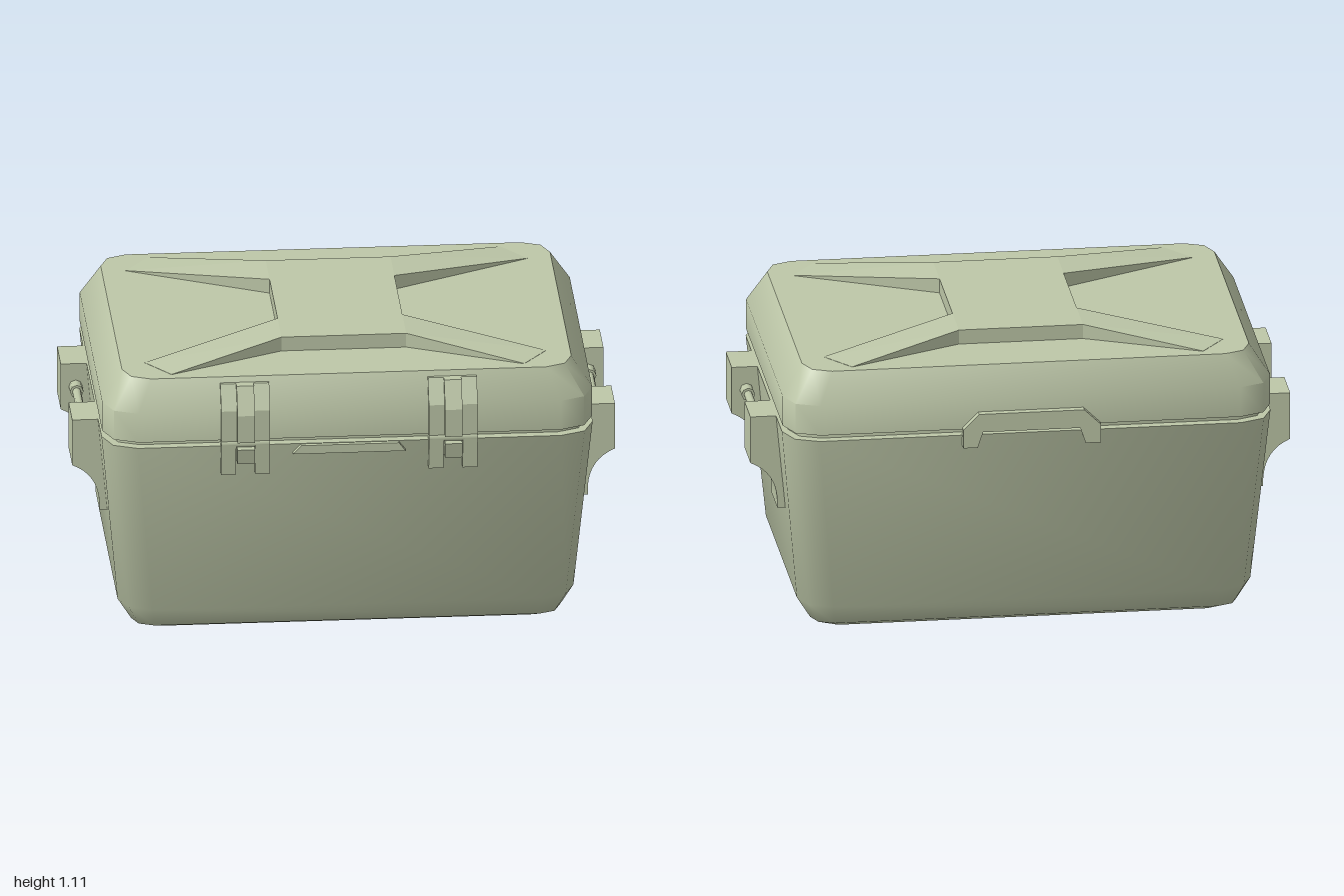
import * as THREE from 'three';
import { toCreasedNormals } from 'three/addons/utils/BufferGeometryUtils.js';
import { ConvexGeometry } from 'three/addons/geometries/ConvexGeometry.js';

const SHIFT = -0.007; // shell centre in z

// Rectangle outline with three-point rounded corners
function ring(hx, hz, r) {
  const pts = [];
  for (let c = 0; c < 4; c++) {
    const sx = c === 0 || c === 3 ? 1 : -1;
    const sz = c < 2 ? 1 : -1;
    for (let k = 0; k < 3; k++) {
      const a = c * Math.PI / 2 + k * Math.PI / 4;
      pts.push([sx * (hx - r) + r * Math.cos(a), sz * (hz - r) + r * Math.sin(a)]);
    }
  }
  return pts;
}

// Closed shell through levels [y, halfX, halfZ, cornerRadius]
function loft(levels) {
  const pos = [], idx = [], n = 12, last = levels.length - 1;
  for (const [y, hx, hz, r] of levels) for (const [x, z] of ring(hx, hz, r)) pos.push(x, y, z + SHIFT);
  pos.push(0, levels[0][0], SHIFT, 0, levels[last][0], SHIFT);
  const bottom = (last + 1) * n, top = bottom + 1;
  for (let i = 0; i < n; i++) {
    const j = (i + 1) % n;
    for (let l = 0; l < last; l++) {
      const a = l * n + i, b = l * n + j;
      idx.push(a, a + n, b + n, a, b + n, b);
    }
    idx.push(bottom, i, j, top, last * n + j, last * n + i);
  }
  const g = new THREE.BufferGeometry();
  g.setAttribute('position', new THREE.Float32BufferAttribute(pos, 3));
  g.setIndex(idx);
  return toCreasedNormals(g, 0.87);
}

const shapeOf = pts => new THREE.Shape(pts.map(p => new THREE.Vector2(p[0], p[1])));

// Extrude an (x, y) outline between two z values
function extrudeZ(pts, z0, z1) {
  const g = new THREE.ExtrudeGeometry(shapeOf(pts), { depth: z1 - z0, bevelEnabled: false });
  return g.translate(0, 0, z0);
}

// Extrude a (z, y) outline between two x values
function extrudeX(pts, x0, x1) {
  const g = new THREE.ExtrudeGeometry(shapeOf(pts), { depth: x1 - x0, bevelEnabled: false });
  return g.rotateY(-Math.PI / 2).translate(x1, 0, 0);
}

export function createModel() {
  const root = new THREE.Group();
  root.name = 'storageCase';
  const mat = new THREE.MeshStandardMaterial({ color: 0xbdc7a8 });
  const add = (name, geo, parent = root) => {
    const m = new THREE.Mesh(geo, mat);
    m.name = name;
    parent.add(m);
    return m;
  };

  // Tapered tub, seal strip and lid
  add('body', loft([
    [0, 0.70, 0.425, 0.02], [0.04, 0.79, 0.515, 0.08],
    [0.12, 0.84, 0.56, 0.12], [0.8, 0.905, 0.64, 0.125],
  ]));
  add('seal', loft([[0.79, 0.88, 0.605, 0.11], [0.835, 0.88, 0.605, 0.11]]));
  add('lid', loft([
    [0.825, 0.903, 0.645, 0.125], [0.94, 0.903, 0.645, 0.125], [1.055, 0.828, 0.592, 0.1],
  ]));

  // Raised cross on the lid: flat centre and four arms falling to the corners
  const low = 1.05, high = 1.11, cross = new THREE.Group();
  cross.name = 'lidCross';
  cross.position.z = SHIFT;
  root.add(cross);
  add('crossCentre', new THREE.BoxGeometry(0.46, high - low, 0.73).translate(0, (high + low) / 2, 0), cross);
  for (const sx of [1, -1]) for (const sz of [1, -1]) {
    const v = (x, y, z) => new THREE.Vector3(sx * x, y, sz * z);
    add('crossArm', new ConvexGeometry([
      v(0.23, high, 0.365), v(0.23, high, 0.185), v(0.23, low, 0.365), v(0.23, low, 0.185),
      v(0.65, 1.056, 0.557), v(0.74, 1.056, 0.437), v(0.65, low, 0.557), v(0.74, low, 0.437),
    ]), cross);
  }

  // Side handles: two brackets with a scooped underside, and a grip bar
  const scoop = new THREE.QuadraticBezierCurve(
    new THREE.Vector2(1, 0.62), new THREE.Vector2(0.905, 0.58), new THREE.Vector2(0.9, 0.47));
  const bracket = [[0.85, 0.8], [1, 0.8], ...scoop.getPoints(8).map(p => [p.x, p.y]), [0.9, 0.44], [0.85, 0.44]];
  for (const s of [1, -1]) {
    const handle = new THREE.Group();
    handle.name = s > 0 ? 'leftHandle' : 'rightHandle';
    root.add(handle);
    const pts = bracket.map(([x, y]) => [s * x, y]);
    for (const [z0, z1] of [[0.177, 0.345], [-0.355, -0.187]])
      add('bracket', toCreasedNormals(extrudeZ(pts, z0, z1), 0.5), handle);
    const rod = (name, r, len, z) => add(name,
      new THREE.CylinderGeometry(r, r, len, 8).rotateX(Math.PI / 2).translate(s * 0.945, 0.71, z), handle);
    rod('gripBar', 0.016, 0.38, -0.005);
    rod('collar', 0.025, 0.054, 0.152);
    rod('collar', 0.025, 0.054, -0.162);
  }

  // Front latches: strap over the lid, raised rib, two legs and a pivot pin
  const strap = [[0.57, 1.035], [0.607, 1.035], [0.655, 0.945], [0.655, 0.825], [0.61, 0.825], [0.61, 0.94]];
  const rib = [[0.58, 1.035], [0.632, 1.035], [0.68, 0.935], [0.68, 0.828], [0.62, 0.828], [0.62, 0.94]];
  const leg = [[0.61, 0.815], [0.655, 0.815], [0.645, 0.69], [0.61, 0.69]];
  const catchProfile = [[0.61, 0.8], [0.68, 0.8], [0.668, 0.74], [0.61, 0.74]];
  for (const cx of [0.38, -0.385]) {
    const latch = new THREE.Group();
    latch.name = 'latch';
    latch.position.x = cx;
    root.add(latch);
    add('latchStrap', extrudeX(strap, -0.09, 0.09), latch);
    add('latchRib', extrudeX(rib, -0.032, 0.032), latch);
    add('latchLeg', extrudeX(leg, 0.035, 0.09), latch);
    add('latchLeg', extrudeX(leg, -0.09, -0.035), latch);
    add('latchCatch', extrudeX(catchProfile, -0.032, 0.032), latch);
    add('latchPin', new THREE.CylinderGeometry(0.014, 0.014, 0.18, 6)
      .rotateZ(Math.PI / 2).translate(0, 0.812, 0.643), latch);
  }

  // Front lip below the seam
  add('frontLip', extrudeZ([[-0.21, 0.765], [0.205, 0.765], [0.18, 0.798], [-0.18, 0.798]], 0.61, 0.65));

  // Rear pull with an open grip
  add('rearPull', extrudeZ([
    [-0.257, 0.76], [-0.2, 0.76], [-0.18, 0.82], [0.18, 0.82], [0.2, 0.76], [0.253, 0.76],
    [0.253, 0.83], [0.195, 0.89], [-0.195, 0.89], [-0.257, 0.83],
  ], -0.68, -0.635));

  return root;
}
